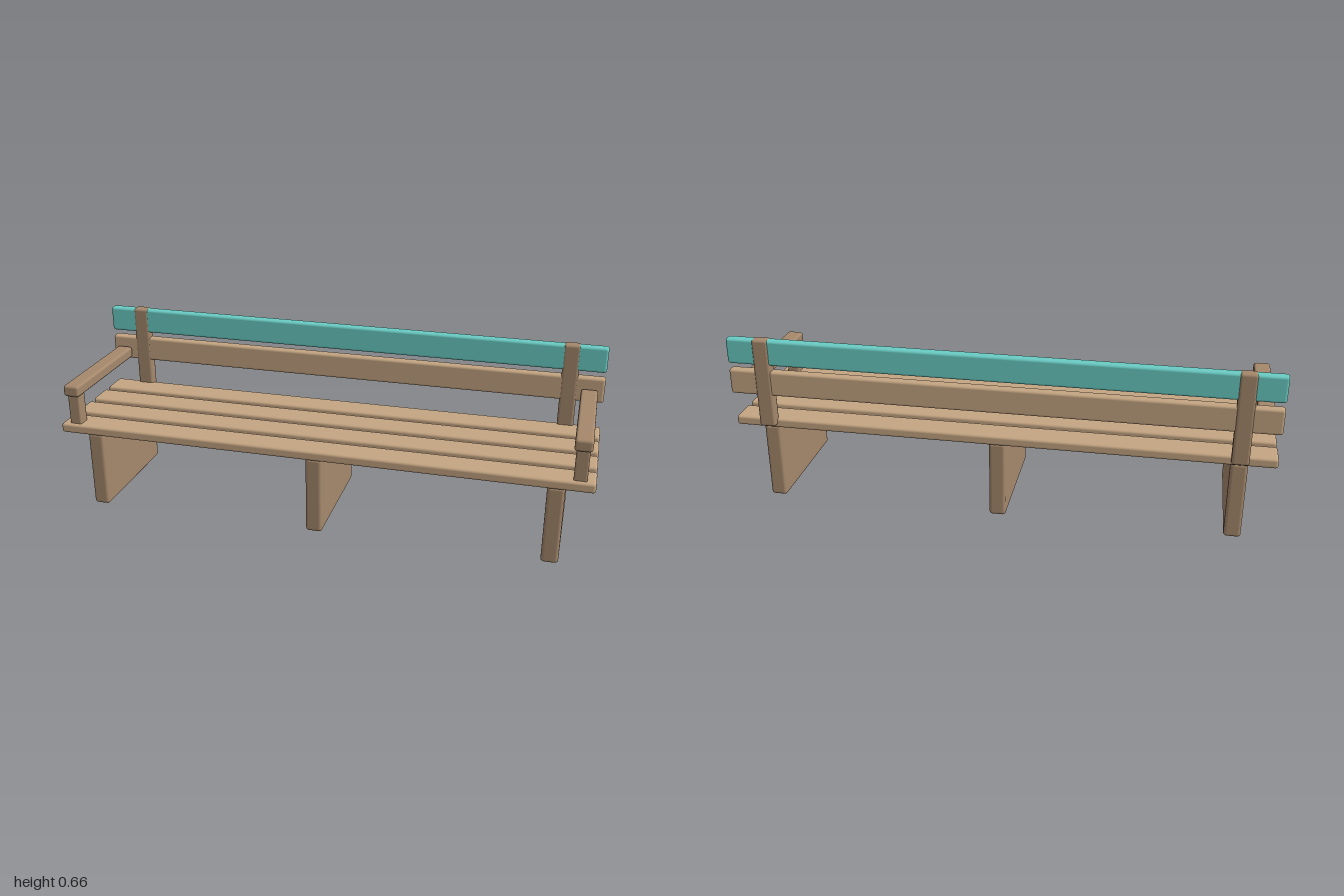
import * as THREE from 'three';
import { RoundedBoxGeometry } from 'three/addons/geometries/RoundedBoxGeometry.js';

const slatWood = new THREE.MeshStandardMaterial({ color: 0xc4a582 });
const frameWood = new THREE.MeshStandardMaterial({ color: 0xa5886c });
const teal = new THREE.MeshStandardMaterial({ color: 0x6accc4 });

// Soft-edged board given by its x centre, width, and y and z ranges
function board(name, material, x, width, [y0, y1], [z0, z1], radius = 0.01) {
  const geometry = new RoundedBoxGeometry(width, y1 - y0, z1 - z0, 3, radius);
  const mesh = new THREE.Mesh(geometry, material);
  mesh.name = name;
  mesh.position.set(x, (y0 + y1) / 2, (z0 + z1) / 2);
  return mesh;
}

export function createModel() {
  const bench = new THREE.Group();
  bench.name = 'bench';

  // Three panel legs
  for (const x of [-0.868, 0, 0.868]) {
    bench.add(board('legPanel', frameWood, x, 0.062, [0, 0.299], [-0.227, 0.251], 0.012));
  }

  // Four seat slats
  for (let i = 0; i < 4; i++) {
    const front = 0.265 - i * 0.1335;
    bench.add(board('seatSlat', slatWood, 0, 2, [0.299, 0.336], [front - 0.105, front]));
  }

  // Two backrest slats, the top one painted
  bench.add(board('lowerBackSlat', slatWood, 0, 2, [0.437, 0.534], [-0.26, -0.222]));
  bench.add(board('upperBackSlat', teal, 0, 2, [0.557, 0.655], [-0.26, -0.222]));

  // Back posts and armrests, mirrored left and right
  for (const side of [-1, 1]) {
    bench.add(board('backPost', frameWood, side * 0.868, 0.062, [0.312, 0.657], [-0.264, -0.22]));

    const armrest = new THREE.Group();
    armrest.name = side > 0 ? 'leftArmrest' : 'rightArmrest';
    armrest.add(
      board('armPost', frameWood, side * 0.945, 0.047, [0.325, 0.46], [0.201, 0.251], 0.007),
      board('armRail', frameWood, side * 0.945, 0.062, [0.45, 0.494], [-0.213, 0.265])
    );
    bench.add(armrest);
  }

  return bench;
}
